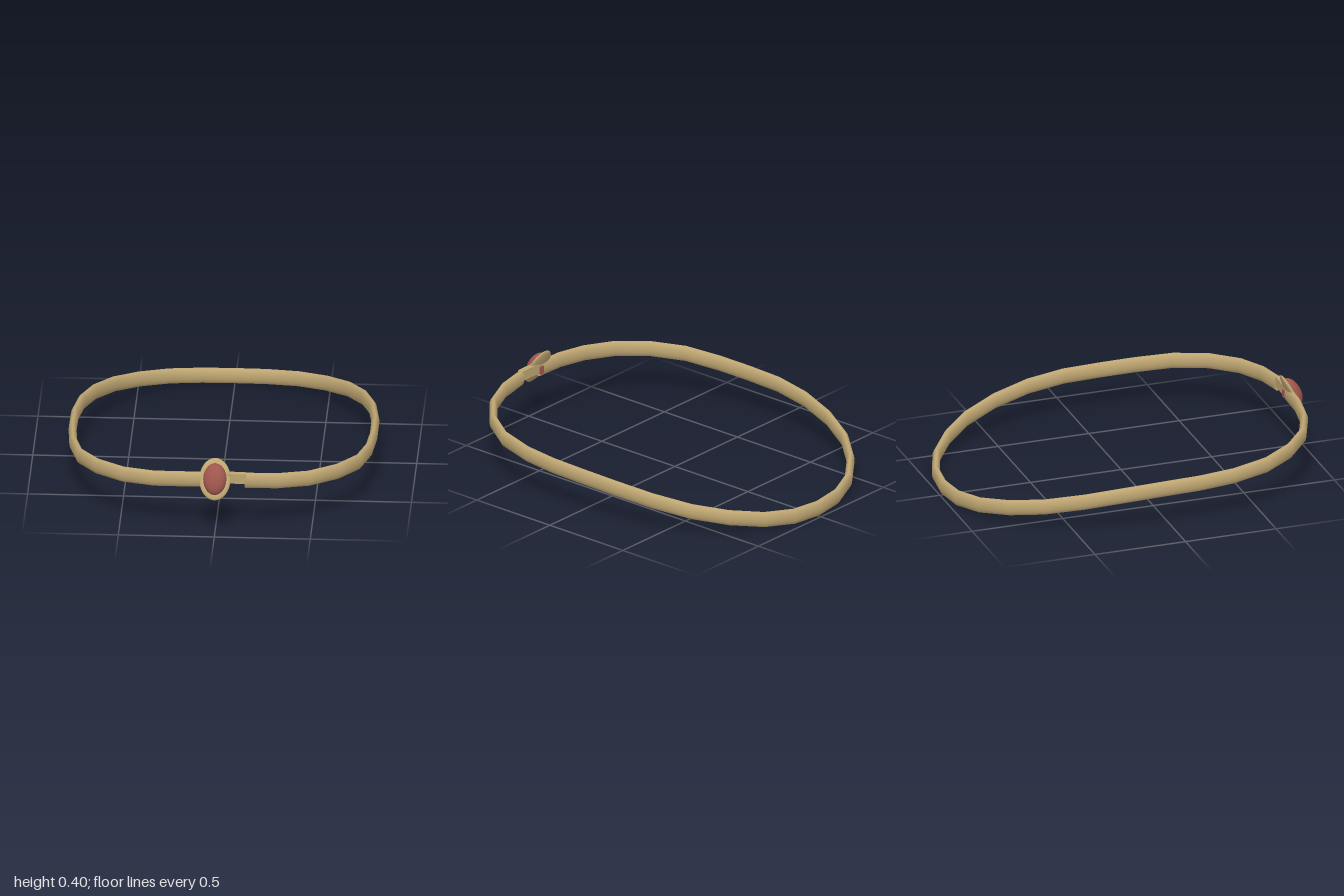
import * as THREE from 'three';

const gold = new THREE.MeshStandardMaterial({ color: 0xbfa672 });
gold.name = 'gold';
const red = new THREE.MeshStandardMaterial({ color: 0x9e564d });
red.name = 'red stone';

// Sweep an upright oval along a path, closing both ends with flat caps
function sweepOval(path, halfThick, halfHeight, sides = 16) {
  const pos = [], index = [];
  const ring = (i) => {
    const p = path[i];
    const t = path[Math.min(i + 1, path.length - 1)].clone().sub(path[Math.max(i - 1, 0)]);
    const out = new THREE.Vector3(-t.z, 0, t.x).normalize();
    const base = pos.length / 3;
    for (let k = 0; k < sides; k++) {
      const a = (k / sides) * Math.PI * 2;
      const r = Math.cos(a) * halfThick;
      pos.push(p.x + out.x * r, p.y + Math.sin(a) * halfHeight, p.z + out.z * r);
    }
    return base;
  };
  path.forEach((_, i) => ring(i));
  for (let i = 0; i < path.length - 1; i++) {
    for (let k = 0; k < sides; k++) {
      const a = i * sides + k, b = i * sides + ((k + 1) % sides);
      index.push(a, a + sides, b, b, a + sides, b + sides);
    }
  }
  const start = ring(0), end = ring(path.length - 1);
  for (let k = 1; k < sides - 1; k++) {
    index.push(start, start + k, start + k + 1);
    index.push(end, end + k + 1, end + k);
  }
  const geo = new THREE.BufferGeometry();
  geo.setAttribute('position', new THREE.Float32BufferAttribute(pos, 3));
  geo.setIndex(index);
  geo.computeVertexNormals();
  return geo;
}

export function createModel() {
  const model = new THREE.Group();
  const add = (parent, name, geo, mat) => {
    const mesh = new THREE.Mesh(geo, mat);
    mesh.name = name;
    parent.add(mesh);
    return mesh;
  };

  // Half of the band's centre line, front to back: x, y, z
  const half = [
    [0.155, 0.297, 0.921], [0.32, 0.287, 0.897], [0.483, 0.276, 0.83], [0.625, 0.264, 0.707],
    [0.725, 0.249, 0.545], [0.77, 0.234, 0.35], [0.784, 0.226, 0.16], [0.783, 0.221, -0.04],
    [0.758, 0.204, -0.245], [0.703, 0.173, -0.45], [0.612, 0.136, -0.64], [0.487, 0.102, -0.787],
    [0.336, 0.073, -0.9], [0.17, 0.054, -0.962],
  ].map((p) => new THREE.Vector3(...p));
  const mirrored = half.map((p) => new THREE.Vector3(-p.x, p.y, p.z)).reverse();
  const path = [
    ...half, new THREE.Vector3(0, 0.048, -0.979), ...mirrored, new THREE.Vector3(0.01, 0.299, 0.924),
  ];
  add(model, 'band', sweepOval(path, 0.021, 0.043), gold);

  // Narrow tongue bridging the open end of the band
  const tongue = add(model, 'claspTongue', new THREE.BoxGeometry(0.16, 0.054, 0.032), gold);
  tongue.position.set(0.078, 0.31, 0.922);

  // Tilted oval setting with its stone
  const setting = new THREE.Group();
  setting.name = 'setting';
  setting.position.set(0, 0.306, 0.937);
  setting.rotation.x = -Math.atan2(0.1, 0.195);
  model.add(setting);

  // Shallow dish: domed back, rounded rim sloping up to the stone
  const profile = [
    [0, -0.018], [0.35, -0.017], [0.65, -0.013], [0.88, -0.008], [0.98, -0.003],
    [1, 0.001], [0.96, 0.006], [0.85, 0.01], [0.7, 0.012], [0, 0.012],
  ].map(([r, y]) => new THREE.Vector2(r, y));
  const dish = new THREE.LatheGeometry(profile, 32);
  dish.rotateX(Math.PI / 2);
  dish.scale(0.082, 0.111, 1);
  dish.computeVertexNormals();
  add(setting, 'bezel', dish, gold);

  // Domed oval stone
  const dome = new THREE.SphereGeometry(1, 28, 10, 0, Math.PI * 2, 0, Math.PI / 2);
  dome.rotateX(Math.PI / 2);
  dome.scale(0.061, 0.084, 0.047);
  add(setting, 'stone', dome, red).position.z = 0.006;

  // Small red pin showing on the inside of the band behind the setting
  const pin = add(model, 'stonePin', new THREE.BoxGeometry(0.026, 0.04, 0.03), red);
  pin.position.set(0.012, 0.299, 0.913);

  return model;
}
